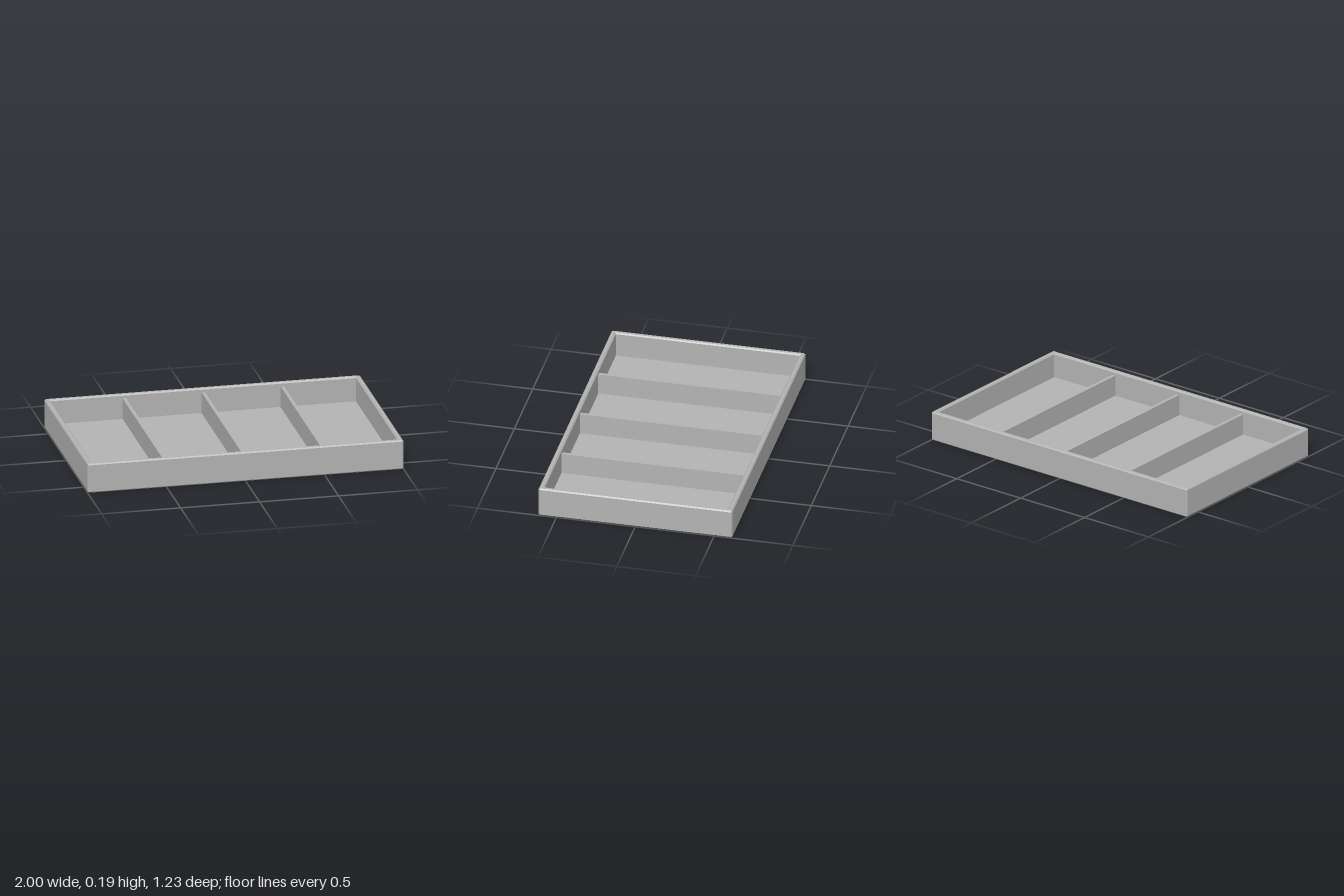
import * as THREE from 'three';

const HX = 1, HZ = 0.615, HEIGHT = 0.19, WALL = 0.033, BEVEL = 0.008, FLOOR = 0.03;

// Rectangle with cut corners, inset from the outer footprint
function ring(inset, y, cut) {
  const x = HX - inset, z = HZ - inset;
  return [
    [x - cut, z], [x, z - cut], [x, -z + cut], [x - cut, -z],
    [-x + cut, -z], [-x, -z + cut], [-x, z - cut], [-x + cut, z],
  ].map(([px, pz]) => new THREE.Vector3(px, y, pz));
}

// Skin between successive rings, closed by the first and last ring
function skinRings(rings) {
  const points = [];
  const tri = (a, b, c) => {
    const area = b.clone().sub(a).cross(c.clone().sub(a)).length();
    if (area > 1e-9) for (const p of [a, b, c]) points.push(p.x, p.y, p.z);
  };
  for (let r = 0; r < rings.length - 1; r++) {
    const lo = rings[r], hi = rings[r + 1];
    for (let i = 0; i < 8; i++) {
      const j = (i + 1) % 8;
      tri(lo[i], lo[j], hi[j]);
      tri(lo[i], hi[j], hi[i]);
    }
  }
  const first = rings[0], last = rings[rings.length - 1];
  for (let i = 1; i < 7; i++) {
    tri(first[0], first[i + 1], first[i]);
    tri(last[0], last[i], last[i + 1]);
  }
  const geometry = new THREE.BufferGeometry();
  geometry.setAttribute('position', new THREE.Float32BufferAttribute(points, 3));
  geometry.computeVertexNormals();
  return geometry;
}

export function createModel() {
  const group = new THREE.Group();
  group.name = 'dividedTray';
  const grey = new THREE.MeshStandardMaterial({ color: 0xb3b3b3 });
  grey.name = 'grey';

  // Open tray: underside, bevelled walls, rim, then down inside to the floor
  const tray = new THREE.Mesh(skinRings([
    ring(BEVEL, 0, BEVEL / 2),
    ring(0, BEVEL, BEVEL),
    ring(0, HEIGHT - BEVEL, BEVEL),
    ring(BEVEL, HEIGHT, BEVEL / 2),
    ring(WALL - BEVEL, HEIGHT, 0),
    ring(WALL, HEIGHT - BEVEL, 0),
    ring(WALL, FLOOR, 0),
  ]), grey);
  tray.name = 'tray';
  group.add(tray);

  // Three dividers, slightly lower than the rim
  const top = 0.165, base = FLOOR - 0.005;
  const dividerShape = new THREE.BoxGeometry(0.022, top - base, 2 * (HZ - WALL) + 0.004);
  for (const x of [-0.5, 0, 0.5]) {
    const divider = new THREE.Mesh(dividerShape, grey);
    divider.name = 'divider';
    divider.position.set(x, (top + base) / 2, 0);
    group.add(divider);
  }
  return group;
}
